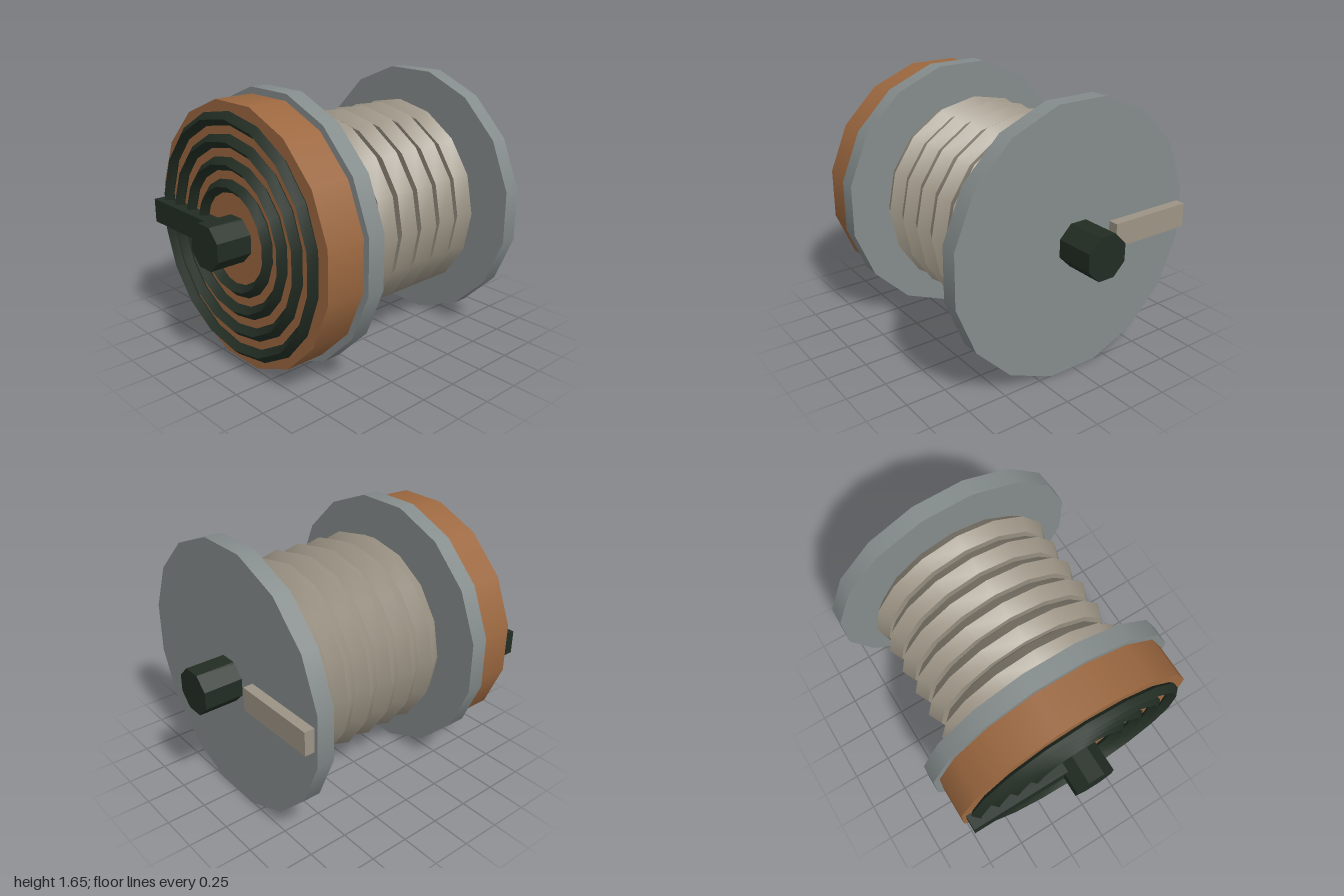
import * as THREE from 'three';
import { toCreasedNormals } from 'three/addons/utils/BufferGeometryUtils.js';

const AXIS_Y = 0.825;

const material = (name, color) => {
  const m = new THREE.MeshStandardMaterial({ color });
  m.name = name;
  return m;
};

export function createModel() {
  const model = new THREE.Group();
  model.name = 'cableSpool';
  const steel = material('grey steel', 0x858c8c);
  const copper = material('copper brown', 0x9c6840);
  const cable = material('beige cable', 0x9c9485);
  const dark = material('dark green metal', 0x222d23);
  const core = material('dark core', 0x5c5a52);

  const add = (name, geometry, mat, x, y = AXIS_Y, z = 0) => {
    const mesh = new THREE.Mesh(geometry, mat);
    mesh.name = name;
    mesh.position.set(x, y, z);
    model.add(mesh);
    return mesh;
  };

  // Polygonal drum along x with a flat side facing up; apothem is its half height
  const drum = (name, x0, x1, apothem, sides, mat, flat = false) => {
    const r = apothem / Math.cos(Math.PI / sides);
    let g = new THREE.CylinderGeometry(r, r, x1 - x0, sides);
    g.rotateY(Math.PI / sides).rotateZ(-Math.PI / 2);
    if (flat) g = toCreasedNormals(g, 0.3);
    return add(name, g, mat, (x0 + x1) / 2);
  };

  // Ring around x whose cross-section is a regular polygon, turned by a start angle
  const ring = (name, x, radius, tube, corners, start, sides, mat) => {
    const profile = [];
    for (let i = 0; i <= corners; i++) {
      const a = start - (i % corners) * Math.PI * 2 / corners;
      profile.push(new THREE.Vector2(radius + tube * Math.sin(a), tube * Math.cos(a)));
    }
    const g = new THREE.LatheGeometry(profile, sides);
    g.rotateY(Math.PI / 2).rotateZ(-Math.PI / 2);
    return add(name, toCreasedNormals(g, 0.55), mat, x);
  };

  // Axle, core, flanges and end drum
  drum('axle', -1, 1, 0.131, 8, dark, true);
  drum('core', -0.41, 0.645, 0.46, 16, core);
  drum('leftFlange', 0.645, 0.755, 0.825, 16, steel);
  drum('rightFlange', -0.525, -0.412, 0.825, 16, steel);
  drum('endDrum', -0.775, -0.525, 0.785, 16, copper);

  // Wound cable: six turns with a tilted five-sided section
  for (let i = 0; i < 6; i++) {
    ring('cableTurn', -0.29 + i * 0.166, 0.558, 0.082, 5, THREE.MathUtils.degToRad(80), 16, cable);
  }

  // Concentric ridges on the end drum
  for (const r of [0.703, 0.575, 0.445, 0.315]) {
    ring('endRidge', -0.795, r, 0.04, 4, Math.PI / 2, 18, dark);
  }

  // Flat bars on both ends, pointing to the back
  add('cableEnd', new THREE.BoxGeometry(0.07, 0.15, 0.56), cable, 0.783, AXIS_Y, -0.52);
  add('endBar', new THREE.BoxGeometry(0.1, 0.15, 0.66), dark, -0.82, AXIS_Y, -0.43);

  return model;
}
